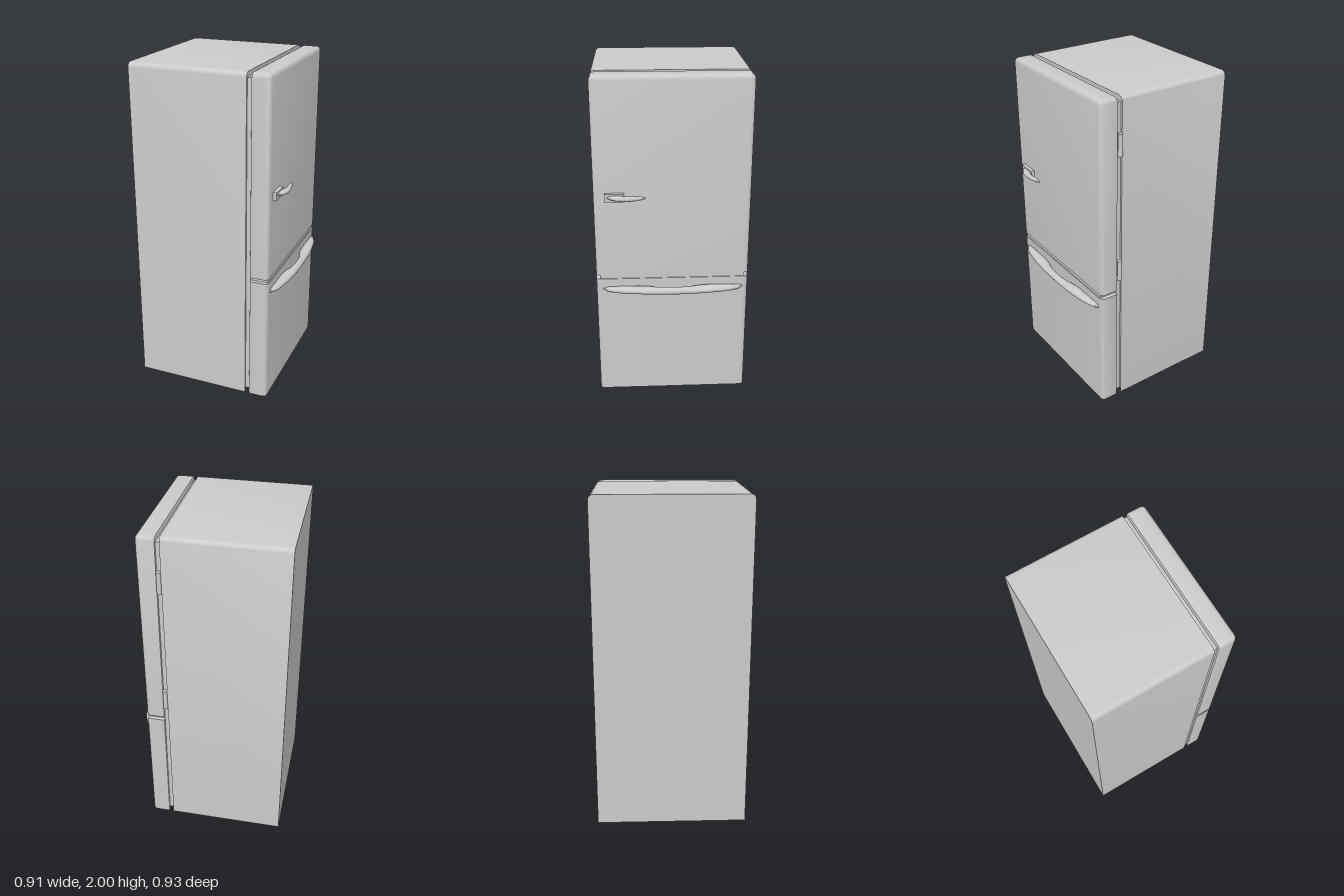
import * as THREE from 'three';
import { toCreasedNormals } from 'three/addons/utils/BufferGeometryUtils.js';

const Z0 = -0.45, Z1 = 0.46, BASE = 0.03;
const grey = new THREE.MeshStandardMaterial({ color: 0xcccccc });
const greyThin = new THREE.MeshStandardMaterial({ color: 0xcccccc, side: THREE.DoubleSide });

// Skin a series of closed rings of [x, y, z] and cap both ends.
function loft(rings, crease = 0.6) {
  const n = rings[0].length, pos = [], idx = [];
  rings.forEach(r => r.forEach(p => pos.push(...p)));
  for (let k = 0; k < rings.length - 1; k++)
    for (let i = 0; i < n; i++) {
      const a = k * n + i, b = k * n + (i + 1) % n;
      idx.push(a, b, b + n, a, b + n, a + n);
    }
  const last = (rings.length - 1) * n;
  for (let i = 1; i < n - 1; i++) {
    idx.push(0, i + 1, i);
    idx.push(last, last + i, last + i + 1);
  }
  const g = new THREE.BufferGeometry();
  g.setAttribute('position', new THREE.Float32BufferAttribute(pos, 3));
  g.setIndex(idx);
  return toCreasedNormals(g, crease);
}

// Outline across the cabinet at x, shrunk by d; radius r rounds the top corners.
function outline(x, d, y0, y1, r) {
  const ring = [];
  if (r > 0) {
    for (const [cz, from] of [[Z0 + r, Math.PI], [Z1 - r, Math.PI / 2]])
      for (let i = 0; i <= 6; i++) {
        const a = from - (i / 6) * Math.PI / 2;
        ring.push([x, y1 - r + (r - d) * Math.sin(a), cz + (r - d) * Math.cos(a)]);
      }
  } else ring.push([x, y1, Z0 + d], [x, y1, Z1 - d]);
  ring.push([x, y0, Z1 - d], [x, y0, Z0 + d]);
  return ring;
}

// Door section from back to front as [x, inset]: small back chamfer, rounded front.
const doorSection = [[0.275, 0.01], [0.278, 0.003], [0.285, 0]];
for (let i = 0; i <= 6; i++) {
  const a = (i / 6) * Math.PI / 2;
  doorSection.push([0.362 + 0.025 * Math.sin(a), 0.025 * (1 - Math.cos(a))]);
}

// Thin upright strip along a path of [x, z], from the floor to the base plate.
function skirt(path) {
  const pos = [], idx = [];
  path.forEach(([x, z], i) => {
    pos.push(x, 0, z, x, BASE, z);
    if (i) idx.push(2 * i - 2, 2 * i, 2 * i + 1, 2 * i - 2, 2 * i + 1, 2 * i - 1);
  });
  const g = new THREE.BufferGeometry();
  g.setAttribute('position', new THREE.Float32BufferAttribute(pos, 3));
  g.setIndex(idx);
  return toCreasedNormals(g, 0.6);
}

// Handle from stations [z, inner x, outer x, half height].
function handle(stations, y) {
  const curve = new THREE.SplineCurve(stations.map(s => new THREE.Vector2(s[0], s[1])));
  const outer = new THREE.SplineCurve(stations.map(s => new THREE.Vector2(s[2], s[3])));
  const rings = [];
  const steps = (stations.length - 1) * 3;
  for (let k = 0; k <= steps; k++) {
    const { x: z, y: xi } = curve.getPoint(k / steps);
    const { x: xo, y: h } = outer.getPoint(k / steps);
    const ring = [];
    for (let i = 0; i < 16; i++) {
      const a = (i / 16) * Math.PI * 2;
      ring.push([(xi + xo) / 2 + (xo - xi) / 2 * Math.cos(a), y + h * Math.sin(a), z]);
    }
    rings.push(ring);
  }
  return loft(rings, 1.2);
}

export function createModel() {
  const group = new THREE.Group();
  const add = (name, geo, mat = grey) => {
    const m = new THREE.Mesh(geo, mat);
    m.name = name;
    group.add(m);
    return m;
  };

  // Cabinet with rounded long top edges, and the recessed underside's rim
  add('cabinet', loft([-0.457, 0.25].map(x => outline(x, 0, BASE, 2, 0.03))));
  add('cabinetSkirt', skirt([[0.25, Z0], [-0.457, Z0], [-0.457, Z1], [0.25, Z1]]), greyThin);

  // Door seal
  add('doorSeal', new THREE.BoxGeometry(0.027, 1.94, 0.886)).position.set(0.263, 1, 0.005);

  // Doors and the recessed strip between them
  add('upperDoor', loft(doorSection.map(([x, d]) => outline(x, d, 0.805, 2, 0.03))));
  add('lowerDoor', loft(doorSection.map(([x, d]) => outline(x, d, BASE, 0.78, 0))));
  add('doorDivider', loft([0.275, 0.382].map(x => outline(x, 0.024, 0.775, 0.81, 0))));
  const edge = doorSection.map(([x, d]) => [x, Z0 + d]);
  add('doorSkirt', skirt([...edge, ...edge.map(([x, z]) => [x, Z0 + Z1 - z]).reverse()]), greyThin);

  // Long bowed drawer handle, mirrored about its middle
  const half = [
    [0.42, 0.382, 0.390, 0.003], [0.395, 0.380, 0.407, 0.013], [0.34, 0.379, 0.427, 0.019],
    [0.25, 0.379, 0.442, 0.022], [0.19, 0.380, 0.449, 0.022], [0.14, 0.389, 0.453, 0.022],
    [0.10, 0.402, 0.454, 0.022], [0.05, 0.409, 0.455, 0.022]];
  const mirrored = half.map(([z, ...rest]) => [-z, ...rest]);
  add('drawerHandle', handle([...mirrored, [0, 0.411, 0.455, 0.022], ...half.reverse()], 0.715));

  // Upper door latch: mounting plate and curved lever
  add('latchPlate', new THREE.BoxGeometry(0.024, 0.05, 0.115)).position.set(0.396, 1.303, 0.338);
  add('latchLever', handle([
    [0.16, 0.418, 0.421, 0.003], [0.18, 0.414, 0.429, 0.010], [0.22, 0.413, 0.440, 0.014],
    [0.26, 0.418, 0.446, 0.015], [0.29, 0.410, 0.447, 0.016], [0.32, 0.400, 0.443, 0.015],
    [0.355, 0.396, 0.426, 0.012], [0.38, 0.398, 0.408, 0.004]], 1.307));

  // Hinge barrels
  for (const y of [0.945, 1.735])
    add('hinge', toCreasedNormals(new THREE.CylinderGeometry(0.0135, 0.0135, 0.13, 20), 0.6))
      .position.set(0.263, y, -0.452);

  return group;
}
